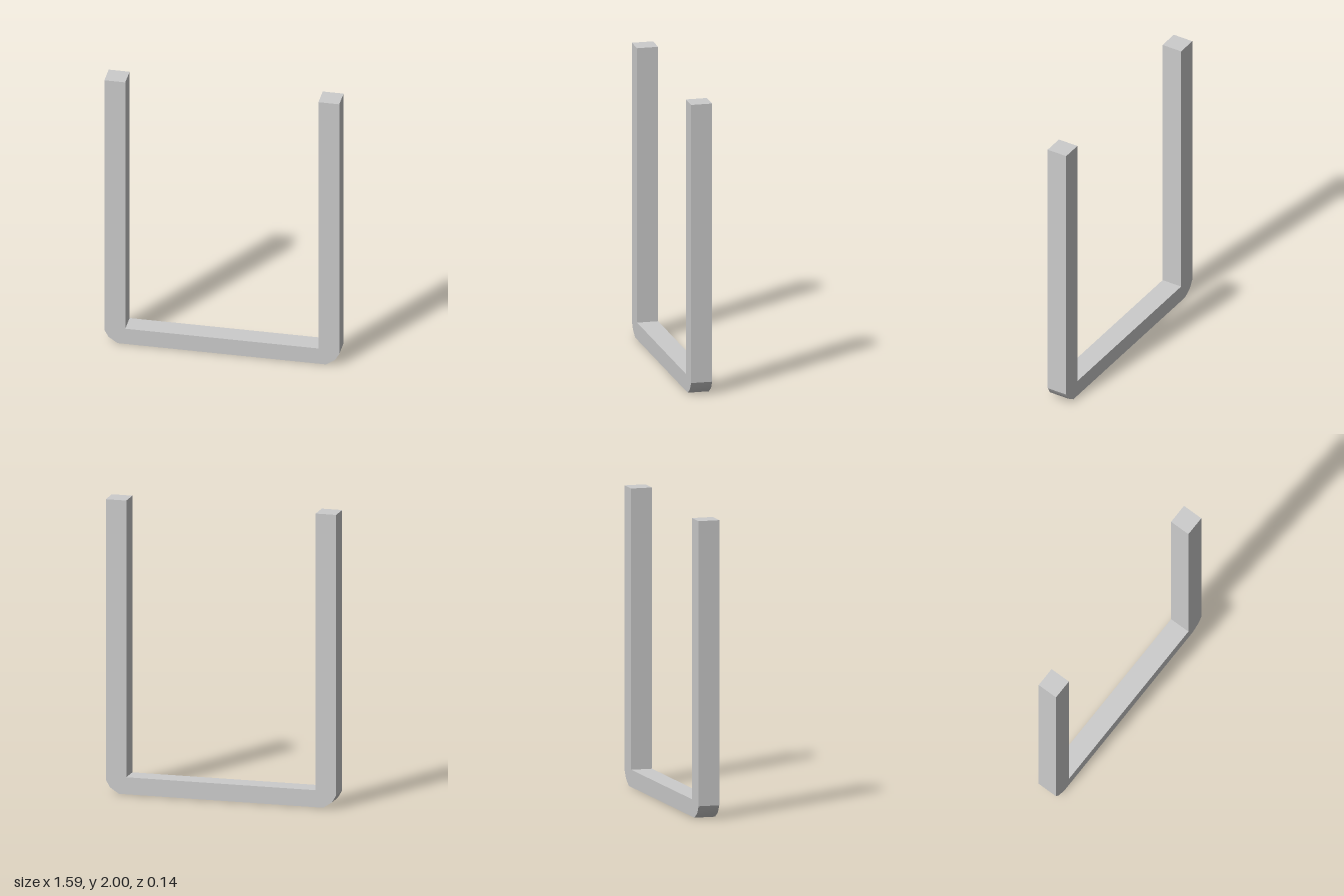
import * as THREE from 'three';
import { toCreasedNormals } from 'three/addons/utils/BufferGeometryUtils.js';

export function createModel() {
  const group = new THREE.Group();
  group.name = 'uFrame';
  const depth = 0.144;

  // Right half of the U outline, from bottom centre outwards and back in; the left half mirrors it
  const half = [
    [0.703, 0], [0.764, 0.04], [0.793, 0.09], [0.793, 2], [0.652, 2], [0.652, 0.116],
  ];
  const mirrored = half.map(([x, y]) => [-x, y]).reverse();
  const outline = [...half, ...mirrored].map(([x, y]) => new THREE.Vector2(x, y));

  // Square bar bent into a U, with faceted outer corners
  const bar = new THREE.ExtrudeGeometry(new THREE.Shape(outline), { depth, bevelEnabled: false });
  bar.translate(0, 0, -depth / 2);
  const mesh = new THREE.Mesh(
    toCreasedNormals(bar, THREE.MathUtils.degToRad(28)),
    new THREE.MeshStandardMaterial({ color: 0xcccccc })
  );
  mesh.name = 'bentBar';
  group.add(mesh);
  return group;
}
